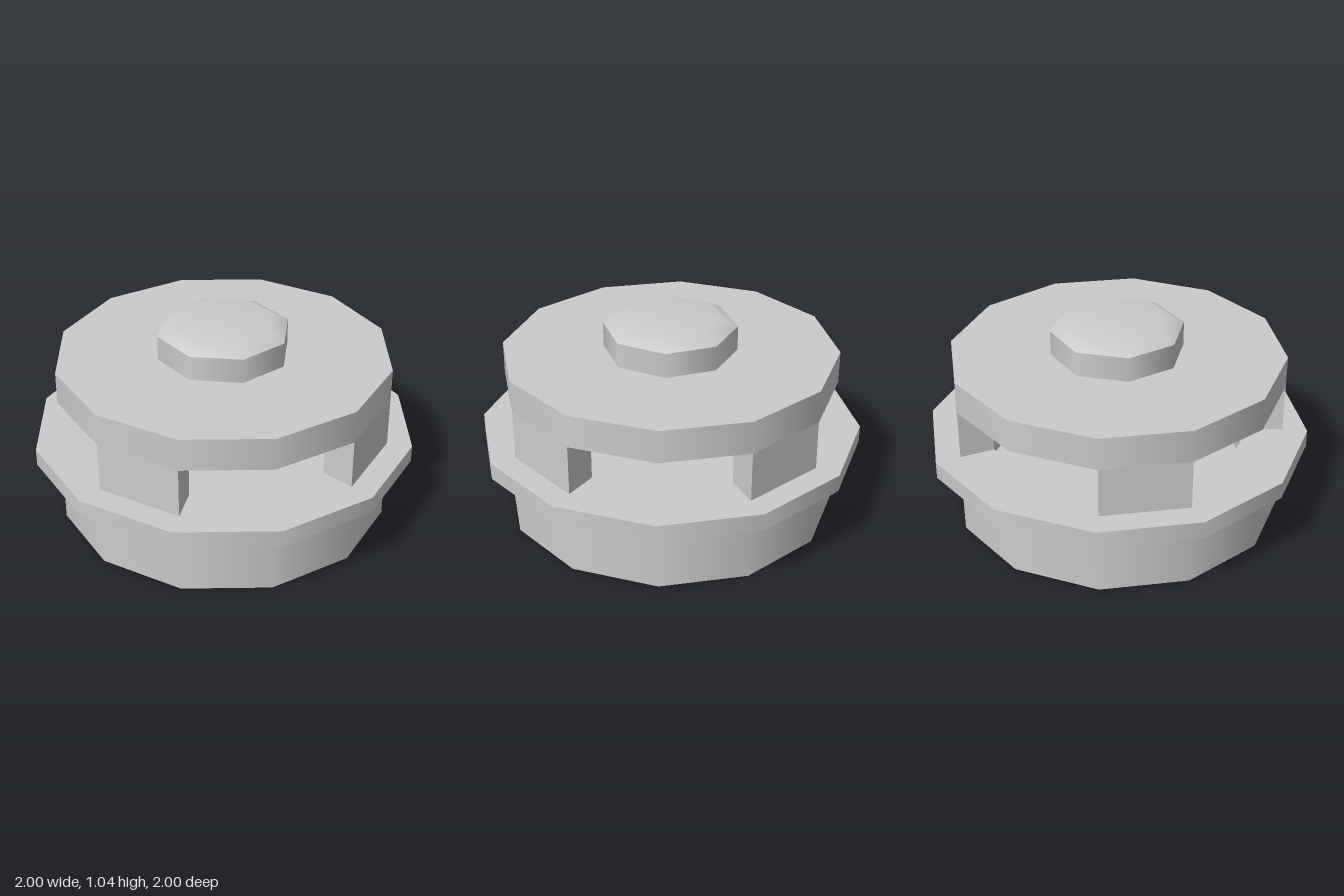
import * as THREE from 'three';
import { mergeGeometries } from 'three/addons/utils/BufferGeometryUtils.js';

const material = new THREE.MeshStandardMaterial({ color: 0xcccccc });

// Turned solid: smooth around the axis, sharp between profile segments.
// The profile runs from the bottom centre outwards, up and back in.
function turned(name, profile, sides) {
  const bands = [];
  for (let i = 0; i < profile.length - 1; i++) {
    const pair = [profile[i], profile[i + 1]].map(([r, y]) => new THREE.Vector2(r, y));
    bands.push(new THREE.LatheGeometry(pair, sides));
  }
  const mesh = new THREE.Mesh(mergeGeometries(bands), material);
  mesh.name = name;
  return mesh;
}

export function createModel() {
  const group = new THREE.Group();
  group.name = 'ventCap';
  const outer = 0.87, inner = 0.69, rimTop = 0.44, lidBottom = 0.7, lidTop = 0.87;

  // Hollow base with a projecting flange
  group.add(turned('base', [
    [0, 0], [outer, 0], [outer, 0.35], [1, 0.35], [1, rimTop],
    [inner, rimTop], [inner, 0.175], [0, 0.175],
  ], 12));

  // Lid held above the base
  group.add(turned('lid', [
    [0, lidBottom], [outer, lidBottom], [outer, lidTop], [0, lidTop],
  ], 12));

  // Four posts, each filling one of the twelve sides
  const corner = (r, deg) => {
    const a = THREE.MathUtils.degToRad(deg);
    return new THREE.Vector2(r * Math.cos(a), r * Math.sin(a));
  };
  const section = new THREE.Shape([
    corner(inner, 30), corner(outer, 30), corner(outer, 60), corner(inner, 60),
  ]);
  const postGeometry = new THREE.ExtrudeGeometry(section, {
    depth: lidBottom - rimTop, bevelEnabled: false,
  });
  postGeometry.rotateX(-Math.PI / 2).translate(0, rimTop, 0);
  for (let i = 0; i < 4; i++) {
    const post = new THREE.Mesh(postGeometry, material);
    post.name = 'post';
    post.rotation.y = i * Math.PI / 2;
    group.add(post);
  }

  // Octagonal knob with a softly shaded chamfered top
  const knob = new THREE.Group();
  knob.name = 'knob';
  knob.add(turned('knobSide', [[0.345, lidTop], [0.345, 1]], 8));
  const crown = [[0.345, 1], [0.26, 1.045], [0, 1.045]].map(([r, y]) => new THREE.Vector2(r, y));
  const crownMesh = new THREE.Mesh(new THREE.LatheGeometry(crown, 8), material);
  crownMesh.name = 'knobCrown';
  knob.add(crownMesh);
  group.add(knob);

  return group;
}
